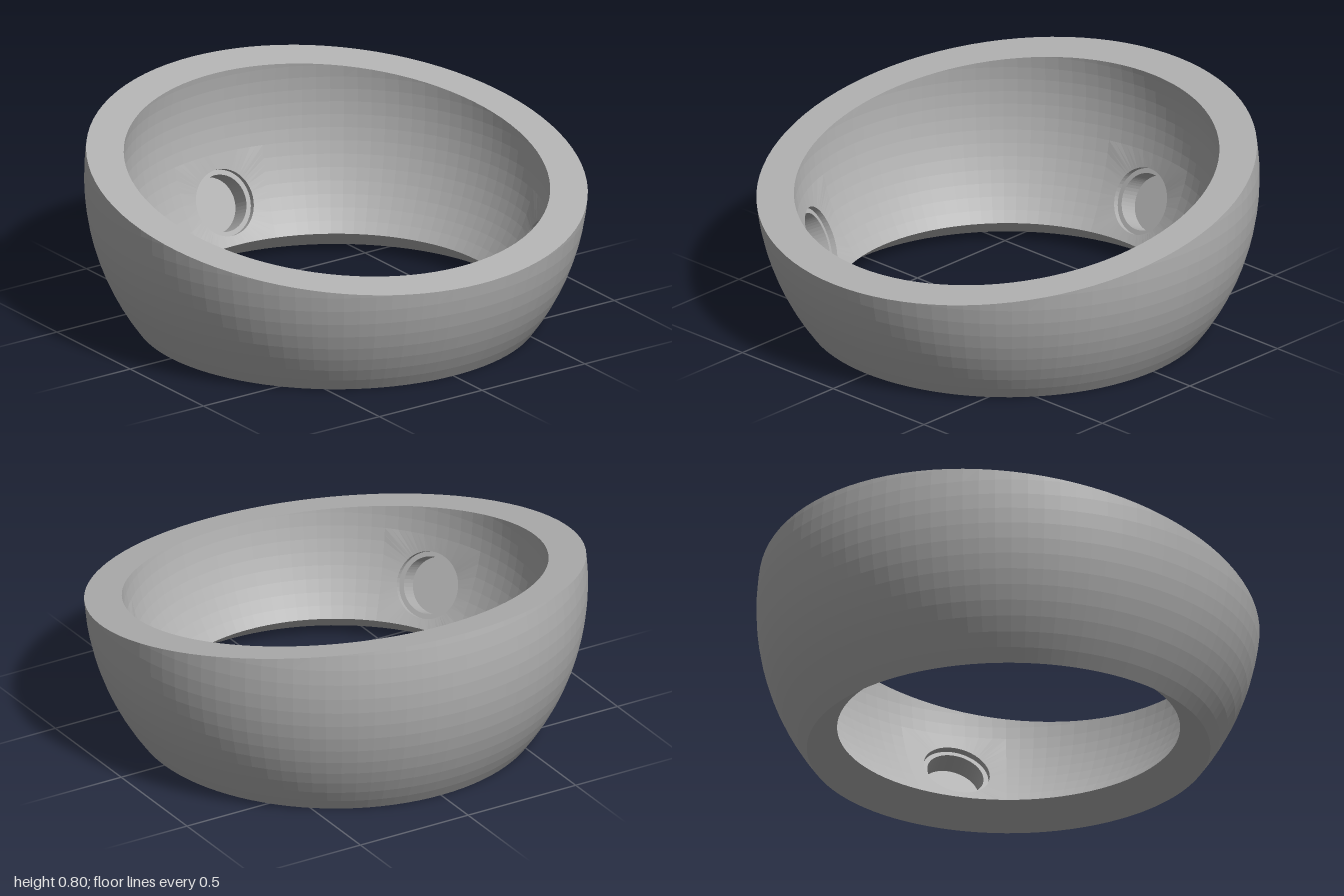
import * as THREE from 'three';

const COLS = 96, ROWS = 14;            // facets around and up the shell
const R_OUT = 1, R_IN = 0.85;          // concentric sphere radii
const CENTRE_Y = 0.6, CUT_Y = 0.625;   // sphere centre, height of the slanted cut on the axis
const SLOPE = Math.tan(THREE.MathUtils.degToRad(10));
const LAT0 = -Math.asin(0.6), LAT_STEP = THREE.MathUtils.degToRad(3.6);
const HOLE_COLS = [16, 48, 80];        // three sockets, 120 degrees apart
const HOLE_LAT = THREE.MathUtils.degToRad(-25);
const BOX_HALF = 4, BOX_ROWS = 7;      // grid window left open around each socket

// Point on a sphere by longitude (0 = front) and latitude
const onSphere = (r, lon, lat) => new THREE.Vector3(
  r * Math.cos(lat) * Math.sin(lon), r * Math.sin(lat), r * Math.cos(lat) * Math.cos(lon));

// Grid point, clamped to the slanted cutting plane
function gridPoint(r, col, row) {
  const lon = col / COLS * Math.PI * 2;
  const k = SLOPE * Math.cos(lon);
  const rimLat = Math.asin((CUT_Y - CENTRE_Y) / (r * Math.hypot(1, k))) - Math.atan(k);
  return onSphere(r, lon, Math.min(LAT0 + row * LAT_STEP, rimLat));
}

// Collects faceted triangles, skipping collapsed ones
class Facets {
  constructor() { this.points = []; }
  tri(a, b, c) {
    const area = b.clone().sub(a).cross(c.clone().sub(a)).length();
    if (area > 1e-9) this.points.push(a, b, c);
  }
  quad(a, b, c, d) { this.tri(a, b, c); this.tri(a, c, d); }
  // Joins two closed loops of equal length
  strip(l0, l1) {
    l0.forEach((p, k) => {
      const n = (k + 1) % l0.length;
      this.quad(p, l1[k], l1[n], l0[n]);
    });
  }
  mesh(name, material) {
    const geometry = new THREE.BufferGeometry().setFromPoints(this.points);
    geometry.computeVertexNormals();
    const mesh = new THREE.Mesh(geometry, material);
    mesh.name = name;
    return mesh;
  }
}

// Loop around the open window, each edge split in two
function windowLoop(col) {
  const corners = [];
  const c0 = col - BOX_HALF, c1 = col + BOX_HALF;
  for (let c = c0; c < c1; c++) corners.push([c, 0]);
  for (let r = 0; r < BOX_ROWS; r++) corners.push([c1, r]);
  for (let c = c1; c > c0; c--) corners.push([c, BOX_ROWS]);
  for (let r = BOX_ROWS; r > 0; r--) corners.push([c0, r]);
  const pts = corners.map(([c, r]) => gridPoint(R_IN, c, r));
  return pts.flatMap((p, i) => [p, p.clone().lerp(pts[(i + 1) % pts.length], 0.5)]);
}

export function createModel() {
  const grey = new THREE.MeshStandardMaterial({ color: 0xb2b2b2 });
  grey.name = 'grey';
  const model = new THREE.Group();
  model.name = 'slantedRing';
  const outer = new Facets(), inner = new Facets(), rim = new Facets(), base = new Facets();

  // Shell walls, slanted rim and conical underside
  const inWindow = (c, r) => r < BOX_ROWS &&
    HOLE_COLS.some(h => c >= h - BOX_HALF && c < h + BOX_HALF);
  for (let c = 0; c < COLS; c++) {
    for (let r = 0; r < ROWS; r++) {
      const cell = R => [[c, r], [c + 1, r], [c + 1, r + 1], [c, r + 1]]
        .map(([i, j]) => gridPoint(R, i, j));
      outer.quad(...cell(R_OUT));
      if (!inWindow(c, r)) inner.quad(...cell(R_IN).reverse());
    }
    const edge = row => [gridPoint(R_OUT, c, row), gridPoint(R_IN, c, row),
      gridPoint(R_IN, c + 1, row), gridPoint(R_OUT, c + 1, row)];
    base.quad(...edge(0));
    rim.quad(...edge(ROWS).reverse());
  }

  // Round stepped sockets sunk into the inner wall
  const HOLE_R = 0.135, BORE_R = 0.115, LEDGE = 0.862, FLOOR = 0.945;
  const mouth = Math.sqrt(R_IN ** 2 - HOLE_R ** 2);
  const steps = [[HOLE_R, mouth], [HOLE_R, LEDGE], [BORE_R, LEDGE], [BORE_R, FLOOR], [0, FLOOR]];
  const sockets = HOLE_COLS.map(col => {
    const axis = onSphere(1, col / COLS * Math.PI * 2, HOLE_LAT);
    const east = new THREE.Vector3(0, 1, 0).cross(axis).normalize();
    const north = axis.clone().cross(east);
    const frame = windowLoop(col);
    const angles = frame.map(p => Math.atan2(p.dot(north), p.dot(east)));
    const loops = steps.map(([r, d]) => angles.map(a => axis.clone().multiplyScalar(d)
      .addScaledVector(east, r * Math.cos(a)).addScaledVector(north, r * Math.sin(a))));
    inner.strip(frame, loops[0]);
    const socket = new Facets();
    for (let i = 0; i + 1 < loops.length; i++) socket.strip(loops[i], loops[i + 1]);
    return socket;
  });

  model.add(outer.mesh('outerWall', grey), inner.mesh('innerWall', grey),
    rim.mesh('slantedRim', grey), base.mesh('underside', grey),
    ...sockets.map(s => s.mesh('socket', grey)));
  model.children.forEach(m => m.position.set(0, CENTRE_Y, 0.005));
  return model;
}
